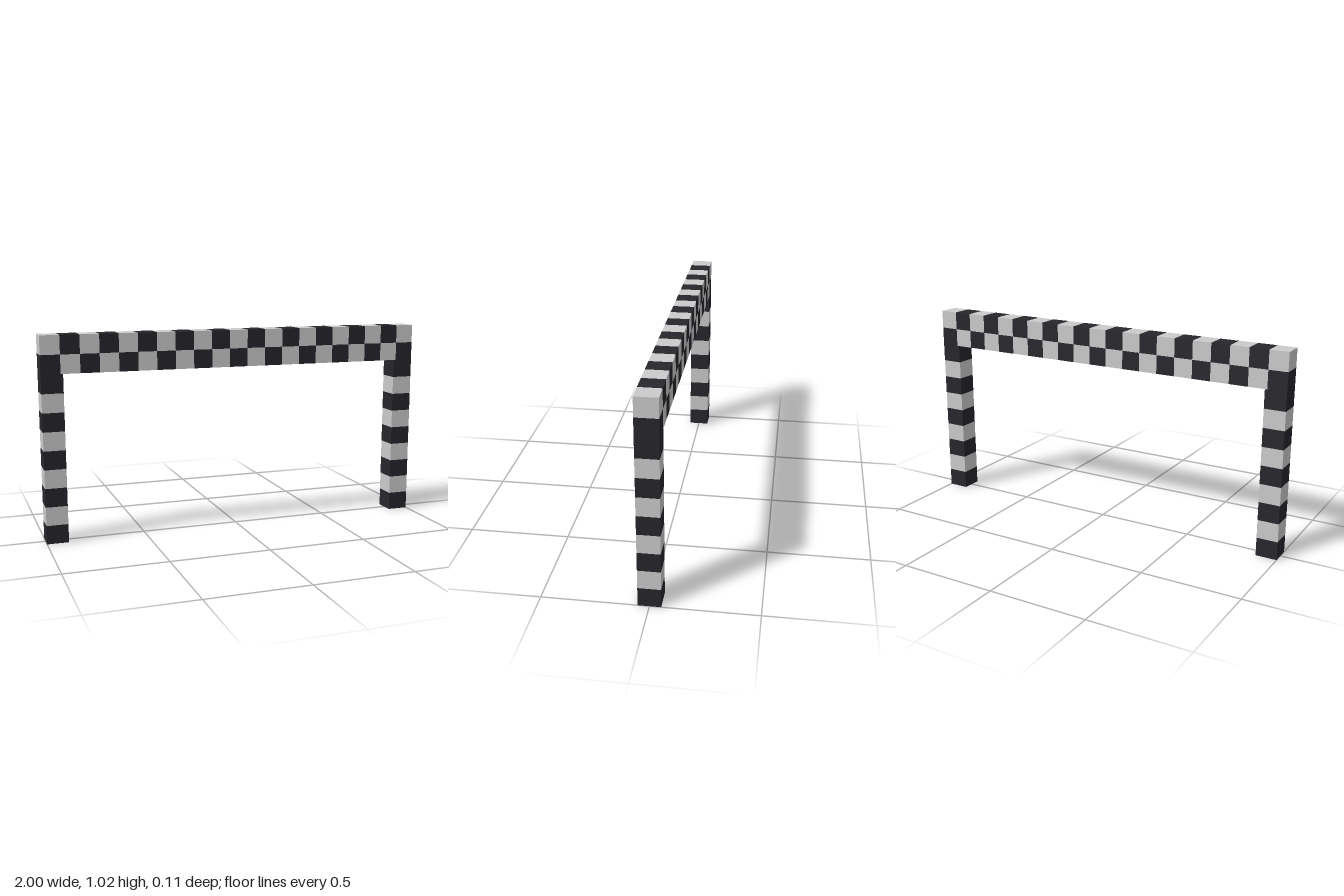
import * as THREE from 'three';

const LIGHT = new THREE.MeshStandardMaterial({ color: 0xcccccc });
const DARK = new THREE.MeshStandardMaterial({ color: 0x26262c });

// A box divided into nx by ny cells, its faces split into dark and light checks.
// The bottom-left cell is dark.
function checkeredBox(name, w, h, d, nx, ny) {
  const group = new THREE.Group();
  group.name = name;
  const box = new THREE.BoxGeometry(w, h, d, nx, ny, 1).toNonIndexed();
  const p = box.attributes.position;
  const n = box.attributes.normal;
  const sides = [{ pos: [], nor: [] }, { pos: [], nor: [] }];
  const cell = (v, size, count) =>
    Math.min(count - 1, Math.max(0, Math.floor((v / size + 0.5) * count)));

  for (let i = 0; i < p.count; i += 3) {
    const cx = (p.getX(i) + p.getX(i + 1) + p.getX(i + 2)) / 3;
    const cy = (p.getY(i) + p.getY(i + 1) + p.getY(i + 2)) / 3;
    const side = sides[(cell(cx, w, nx) + cell(cy, h, ny)) % 2];
    for (let k = i; k < i + 3; k++) {
      side.pos.push(p.getX(k), p.getY(k), p.getZ(k));
      side.nor.push(n.getX(k), n.getY(k), n.getZ(k));
    }
  }

  sides.forEach(({ pos, nor }, i) => {
    const geo = new THREE.BufferGeometry();
    geo.setAttribute('position', new THREE.Float32BufferAttribute(pos, 3));
    geo.setAttribute('normal', new THREE.Float32BufferAttribute(nor, 3));
    const mesh = new THREE.Mesh(geo, i ? LIGHT : DARK);
    mesh.name = name + (i ? 'LightChecks' : 'DarkChecks');
    group.add(mesh);
  });
  return group;
}

export function createModel() {
  const model = new THREE.Group();
  model.name = 'checkeredGate';
  const thick = 0.107;
  const legH = 0.838;
  const beamH = 0.187;

  // Crossbar: two rows of 21 checks
  const beam = checkeredBox('crossbar', 2, beamH, thick, 21, 2);
  beam.position.y = legH + beamH / 2;
  model.add(beam);

  // Banded posts under each end
  for (const [name, s] of [['leftPost', 1], ['rightPost', -1]]) {
    const post = checkeredBox(name, thick, legH, thick, 1, 9);
    post.position.set(s * (1 - thick / 2), legH / 2, 0);
    model.add(post);
  }
  return model;
}
